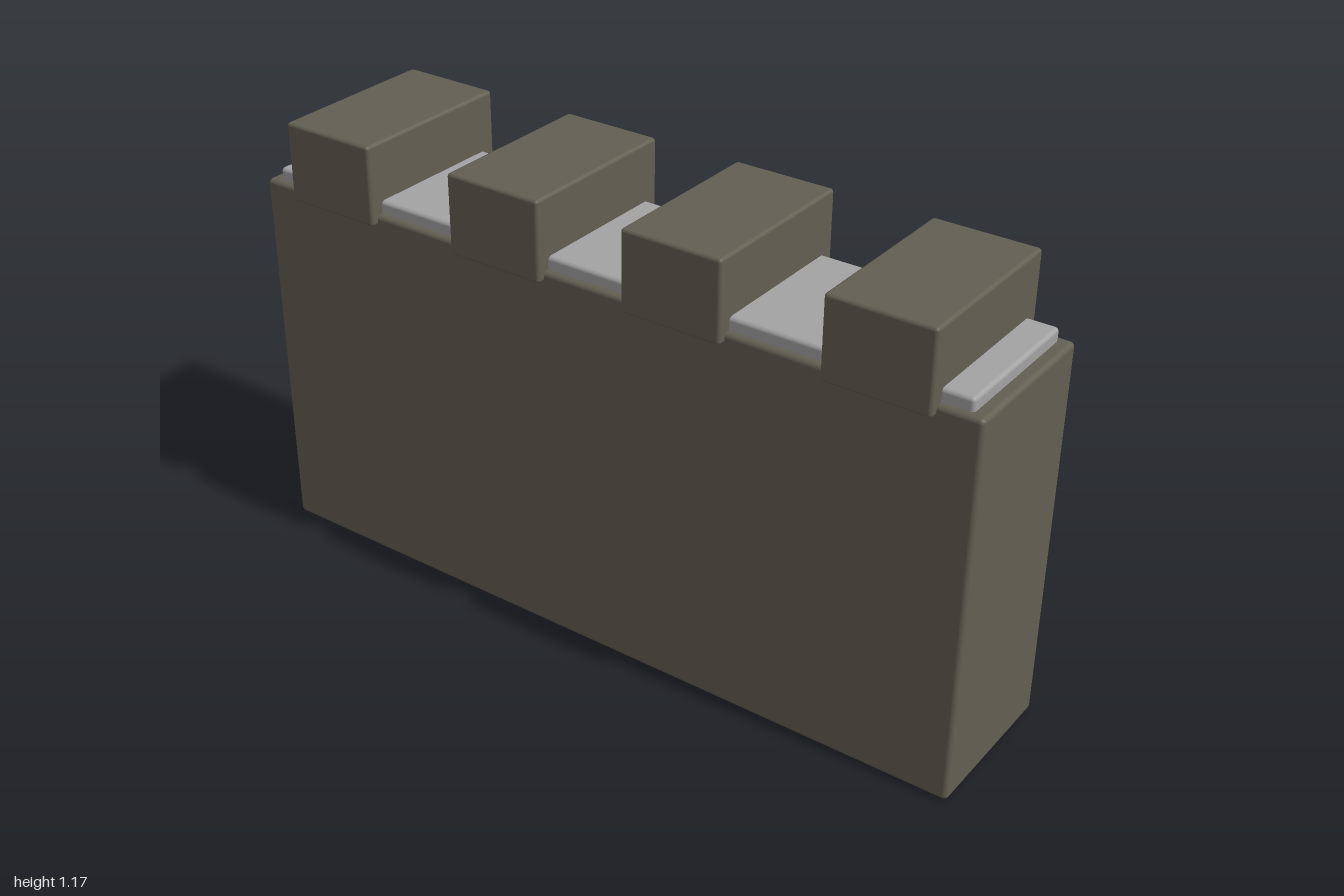
import * as THREE from 'three';
import { RoundedBoxGeometry } from 'three/addons/geometries/RoundedBoxGeometry.js';

export function createModel() {
  const group = new THREE.Group();
  const stone = new THREE.MeshStandardMaterial({ color: 0x625f52 });
  stone.name = 'darkStone';
  const paving = new THREE.MeshStandardMaterial({ color: 0xa3a3a3 });
  paving.name = 'greyPaving';

  // Box with softened edges, placed by its bottom height
  function block(name, material, w, h, d, x, bottom, bevel) {
    const mesh = new THREE.Mesh(new RoundedBoxGeometry(w, h, d, 2, bevel), material);
    mesh.name = name;
    mesh.position.set(x, bottom + h / 2, 0);
    group.add(mesh);
  }

  // Wall body
  block('wallBody', stone, 2, 0.99, 0.415, 0, 0, 0.012);

  // Walkway slab along the top
  block('walkway', paving, 1.935, 0.06, 0.38, 0, 0.962, 0.01);

  // Merlons, overhanging the wall front and back
  [-0.76, -0.25, 0.245, 0.76].forEach((x, i) => {
    block('merlon' + (i + 1), stone, 0.265, 0.207, 0.454, x, 0.965, 0.009);
  });

  return group;
}
